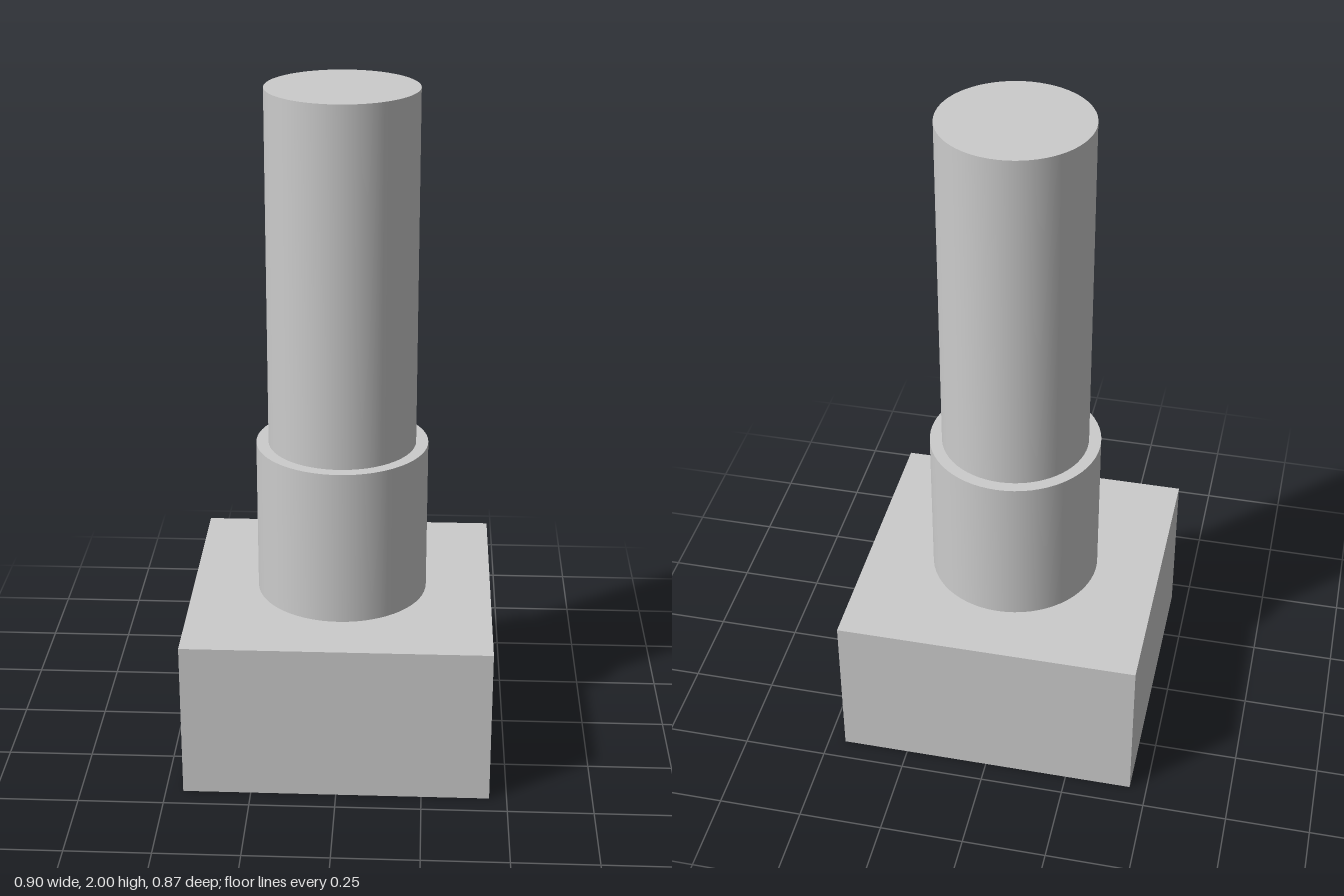
import * as THREE from 'three';

export function createModel() {
  const model = new THREE.Group();
  const grey = new THREE.MeshStandardMaterial({ color: 0xcccccc });
  grey.name = 'light grey';

  // Adds a named part whose underside sits at height bottom
  function addPart(name, geometry, bottom, height) {
    const mesh = new THREE.Mesh(geometry, grey);
    mesh.name = name;
    mesh.position.y = bottom + height / 2;
    model.add(mesh);
  }

  const baseTop = 0.475;
  const collarTop = 0.945;
  const shaftTop = 2;

  // Rectangular block at the foot
  addPart('base', new THREE.BoxGeometry(0.898, baseTop, 0.872), 0, baseTop);

  // Wider ring section, then the long round shaft
  const cylinder = (radius, height) => new THREE.CylinderGeometry(radius, radius, height, 64);
  const collarHeight = collarTop - baseTop;
  const shaftHeight = shaftTop - collarTop;
  addPart('collar', cylinder(0.254, collarHeight), baseTop, collarHeight);
  addPart('shaft', cylinder(0.218, shaftHeight), collarTop, shaftHeight);

  return model;
}
